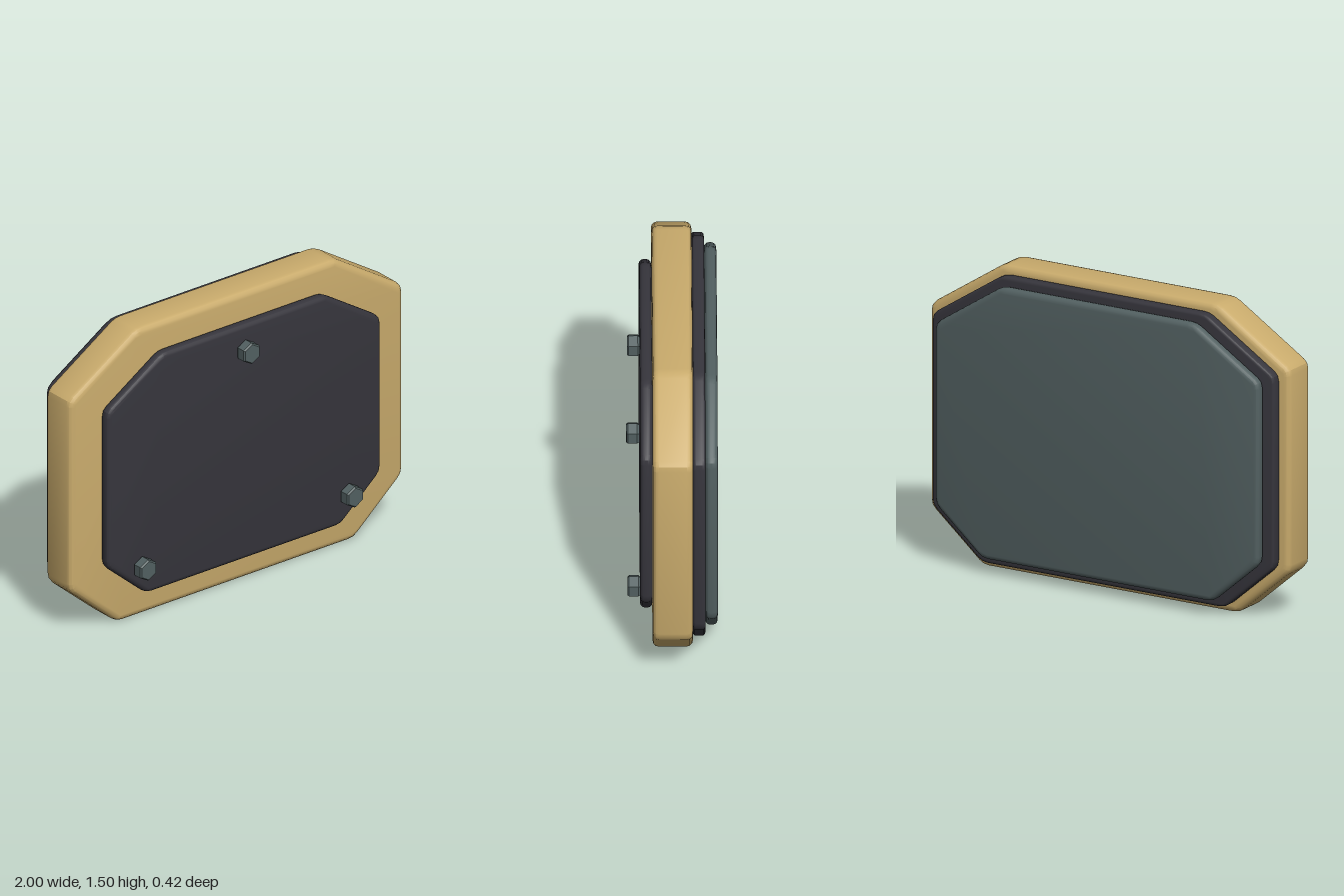
import * as THREE from 'three';
import { toCreasedNormals } from 'three/addons/utils/BufferGeometryUtils.js';

const MID_Y = 0.75;

// Right half of the eight-sided outline, relative to its centre, bottom to top
const HALF = [[0.71, -0.75], [1, -0.5], [1, 0.49], [0.595, 0.75]];

// Full outline at a given scale, with slightly softened corners
function outline(scale, soft) {
  const pts = [...HALF, ...HALF.map(([x, y]) => [-x, y]).reverse()]
    .map(([x, y]) => new THREE.Vector2(x * scale, y * scale));
  const shape = new THREE.Shape();
  pts.forEach((p, i) => {
    const prev = pts[(i + pts.length - 1) % pts.length];
    const next = pts[(i + 1) % pts.length];
    const a = p.clone().add(prev.clone().sub(p).setLength(soft));
    const b = p.clone().add(next.clone().sub(p).setLength(soft));
    if (i === 0) shape.moveTo(a.x, a.y);
    else shape.lineTo(a.x, a.y);
    shape.quadraticCurveTo(p.x, p.y, b.x, b.y);
  });
  shape.closePath();
  return shape;
}

// Rounded-edge plate between two depths
function plate(name, scale, z0, z1, bevel, material) {
  const geometry = new THREE.ExtrudeGeometry(outline(scale, 0.03), {
    depth: z1 - z0 - 2 * bevel,
    curveSegments: 2,
    bevelEnabled: true,
    bevelThickness: bevel,
    bevelSize: bevel,
    bevelOffset: -bevel,
    bevelSegments: 3,
  });
  const mesh = new THREE.Mesh(toCreasedNormals(geometry, 0.53), material);
  mesh.name = name;
  mesh.position.set(0, MID_Y, z0 + bevel);
  return mesh;
}

// Six-sided bolt head with chamfered rims, pointing forward
function bolt(name, x, y, material) {
  const profile = [[0, 0], [0.048, 0], [0.055, 0.008], [0.055, 0.051], [0.048, 0.059], [0, 0.059]]
    .map(([r, h]) => new THREE.Vector2(r, h));
  const geometry = toCreasedNormals(new THREE.LatheGeometry(profile, 6), 0.1);
  geometry.rotateX(Math.PI / 2);
  const mesh = new THREE.Mesh(geometry, material);
  mesh.name = name;
  mesh.position.set(x, y, 0.153);
  return mesh;
}

export function createModel() {
  const tan = new THREE.MeshStandardMaterial({ name: 'tan', color: 0xc9ab6c });
  const charcoal = new THREE.MeshStandardMaterial({ name: 'charcoal', color: 0x36353c });
  const slate = new THREE.MeshStandardMaterial({ name: 'slate', color: 0x526061 });

  const model = new THREE.Group();
  model.name = 'layeredPanel';

  // Stacked plates, front to back
  model.add(
    plate('frontPlate', 0.82, 0.095, 0.153, 0.022, charcoal),
    plate('body', 1, -0.095, 0.095, 0.03, tan),
    plate('backGasket', 0.95, -0.153, -0.095, 0.014, charcoal),
    plate('backCover', 0.9, -0.211, -0.153, 0.024, slate),
  );

  // Three bolts on the front plate
  model.add(
    bolt('topBolt', 0, 1.235, slate),
    bolt('leftBolt', 0.62, 0.29, slate),
    bolt('rightBolt', -0.62, 0.29, slate),
  );
  return model;
}
